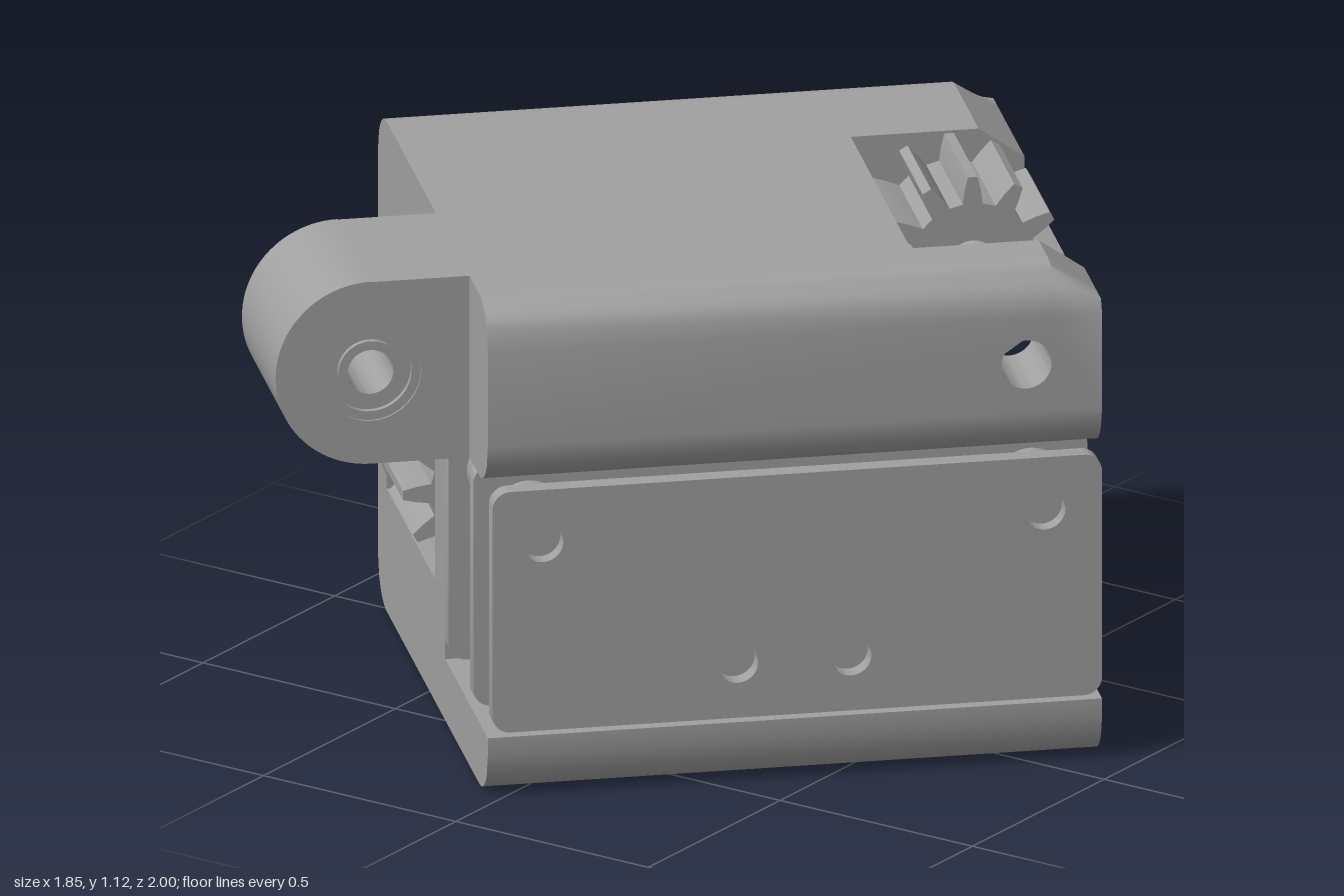
import * as THREE from 'three';
import { toCreasedNormals } from 'three/addons/utils/BufferGeometryUtils.js';

// Everything is built in a local frame (u, y, w) and turned 45 degrees at the end.
export function createModel() {
  const metal = new THREE.MeshStandardMaterial({ color: 0xa0a0a0 });
  metal.name = 'grey metal';
  const model = new THREE.Group();
  model.name = 'gearedDrive';
  const body = new THREE.Group();
  body.name = 'assembly';
  body.rotation.y = Math.PI / 4;
  model.add(body);

  const add = (name, geometry) => {
    const mesh = new THREE.Mesh(geometry, metal);
    mesh.name = name;
    body.add(mesh);
    return mesh;
  };
  const poly = (pts) => new THREE.Shape(pts.map(([x, y]) => new THREE.Vector2(x, y)));
  const rect = (u0, u1, y0, y1) => poly([[u0, y0], [u1, y0], [u1, y1], [u0, y1]]);
  const circle = (u, y, r) => new THREE.Path().absarc(u, y, r, 0, Math.PI * 2, true);
  const roundRect = (u0, u1, y0, y1, r) => {
    const s = new THREE.Shape();
    s.absarc(u1 - r, y1 - r, r, 0, Math.PI / 2);
    s.absarc(u0 + r, y1 - r, r, Math.PI / 2, Math.PI);
    s.absarc(u0 + r, y0 + r, r, Math.PI, Math.PI * 1.5);
    s.absarc(u1 - r, y0 + r, r, Math.PI * 1.5, Math.PI * 2);
    return s;
  };

  // Extrudes a u-y outline from w0 to w1; round: +1 rounds the w1 end, -1 the w0 end
  const slab = (name, shape, w0, w1, holes = [], { round = 0, lo = -9, hi = 9 } = {}) => {
    shape.holes.push(...holes);
    const depth = w1 - w0;
    const g = new THREE.ExtrudeGeometry(shape, {
      depth, steps: round ? 8 : 1, bevelEnabled: false, curveSegments: 24,
    });
    const p = g.attributes.position;
    for (let i = 0; round && i < p.count; i++) {
      const t = round > 0 ? p.getZ(i) : depth - p.getZ(i);
      const inset = depth - Math.sqrt(Math.max(0, depth * depth - t * t));
      p.setY(i, Math.min(hi - inset, Math.max(lo + inset, p.getY(i))));
    }
    g.translate(0, 0, w0);
    return add(name, toCreasedNormals(g, 0.5));
  };
  const disc = (name, u, y, r, w0, w1) => {
    const g = new THREE.CylinderGeometry(r, r, w1 - w0, 36);
    g.rotateX(Math.PI / 2).translate(u, y, (w0 + w1) / 2);
    return add(name, g);
  };
  const ring = (name, u, y, outer, inner, w0, w1) =>
    slab(name, new THREE.Shape().absarc(u, y, outer, 0, Math.PI * 2), w0, w1, [circle(u, y, inner)]);

  const L = -0.615, R = 0.725, TOP = 1.12, MID = 0.705;
  const outline = (y0) => poly([[L, y0], [R, y0], [R, 1.05], [R - 0.1, TOP], [L, TOP]]);

  // Upper housing with the gear pocket cut out of its right side
  const gearHole = () => [circle(0.56, 0.915, 0.055)];
  slab('upperFrontEdge', outline(MID), 0.487, 0.587, gearHole(), { round: 1, lo: MID, hi: TOP });
  slab('upperFrontBlock', outline(MID), 0.38, 0.487, gearHole());
  slab('upperMiddleBlock', rect(L, 0.346, MID, TOP), -0.318, 0.38);
  slab('upperBackBlock', outline(MID), -0.595, -0.318, gearHole());

  // Back panel with slots and screw holes
  const bosses = [[0.236, 0.8], [-0.1, 0.8]];
  const slots = [[0.26, 0.37, 0.31, 0.62], [-0.47, -0.355, 0.31, 0.63],
    [-0.17, 0.08, 0.5, 0.6], [-0.35, -0.09, 0.2, 0.28]].map((s) => rect(...s));
  slab('backPanel', outline(0), -0.695, -0.595, [
    ...slots, ...bosses.map(([u, y]) => circle(u, y, 0.05)),
    circle(-0.455, 0.8, 0.042), circle(-0.455, 0.17, 0.042),
  ], { round: -1, lo: 0, hi: TOP });
  for (const [u, y] of bosses) ring('backBoss', u, y, 0.08, 0.05, -0.712, -0.66);
  ring('cornerBoss', -0.526, 0.07, 0.065, 0.04, -0.705, -0.6);

  // Floor with a deep cut-out under the motor
  slab('floorFrontEdge', rect(L, R, 0, 0.14), 0.487, 0.587, [], { round: 1, lo: 0 });
  slab('floorFront', rect(L, R, 0, 0.14), -0.01, 0.487);
  slab('floorBack', rect(L, -0.19, 0, 0.14), -0.595, -0.01);

  // Left wall around the window
  slab('wallSill', rect(L, -0.52, 0.14, 0.28), -0.6, -0.03);
  slab('wallPost', rect(L, -0.52, 0.14, MID), -0.03, 0.09);
  slab('wallLintel', rect(L, -0.52, 0.64, MID), -0.6, -0.32);

  // Side ear with a bearing
  const ear = new THREE.Shape();
  ear.moveTo(L, TOP);
  ear.lineTo(-0.83, TOP);
  ear.absarc(-0.83, 0.913, 0.208, Math.PI / 2, Math.PI * 1.5);
  ear.lineTo(L, MID);
  slab('ear', ear, -0.02, 0.373, [circle(-0.83, 0.913, 0.11)]);
  ring('bearingOuter', -0.83, 0.913, 0.11, 0.09, -0.015, 0.368);
  ring('bearingSeal', -0.83, 0.913, 0.09, 0.07, -0.005, 0.355);
  ring('bearingInner', -0.83, 0.913, 0.07, 0.05, -0.015, 0.368);

  // Gearbox plates, spacers and pins
  slab('frontPlate', roundRect(L + 0.01, R, 0.15, 0.7, 0.04), 0.545, 0.587, [
    circle(-0.495, 0.58, 0.045), circle(0.6, 0.58, 0.045),
    circle(-0.07, 0.275, 0.045), circle(0.177, 0.275, 0.045),
  ]);
  slab('middlePlate', roundRect(L, R, 0.15, 0.7, 0.04), 0.378, 0.417);
  slab('innerPlate', roundRect(L, 0.0, 0.15, 0.7, 0.04), 0.09, 0.127);
  for (const u of [-0.495, 0.6]) disc('frontSpacer', u, 0.58, 0.08, 0.41, 0.55);
  disc('innerSpacer', -0.495, 0.58, 0.08, 0.12, 0.38);
  disc('pinCollar', -0.515, 0.43, 0.05, 0.12, 0.15);
  disc('pin', -0.515, 0.43, 0.04, 0.12, 0.18);

  // Motor: a round can with flat top and bottom
  const a = Math.asin(0.275 / 0.36);
  const can = new THREE.Shape();
  can.absarc(0.365, 0.427, 0.36, -a, a);
  can.absarc(0.365, 0.427, 0.36, Math.PI - a, Math.PI + a);
  slab('motorCan', can, -0.43, 0.38);
  disc('motorEndBoss', 0.365, 0.427, 0.1, -0.48, -0.42);
  disc('motorShaftEnd', 0.365, 0.427, 0.035, -0.52, -0.47);
  for (const u of [0.12, 0.61]) slab('motorTerminal', rect(u - 0.03, u + 0.03, 0.4, 0.46), -0.5, -0.42);

  // Spur gears
  const gear = (name, u, y, w0, w1, bore) => {
    const pts = [], teeth = 12, pitch = (Math.PI * 2) / teeth;
    for (let i = 0; i < teeth; i++) {
      for (const [f, r] of [[-0.3, 0.14], [-0.2, 0.17], [-0.1, 0.2], [0.1, 0.2], [0.2, 0.17], [0.3, 0.14]]) {
        const t = (i + f) * pitch + Math.PI / 2;
        pts.push([u + r * Math.cos(t), y + r * Math.sin(t)]);
      }
    }
    slab(name, poly(pts), w0, w1, [circle(u, y, bore)]);
  };
  gear('upperGear', 0.56, 0.915, -0.316, -0.04, 0.055);
  gear('lowerGear', -0.485, 0.475, -0.31, -0.03, 0.05);
  disc('lowerGearShaft', -0.485, 0.475, 0.05, -0.46, 0.1);
  disc('lowerGearFlange', -0.485, 0.475, 0.19, -0.38, -0.31);
  disc('lowerGearHub', -0.485, 0.475, 0.1, -0.44, -0.38);

  return model;
}
